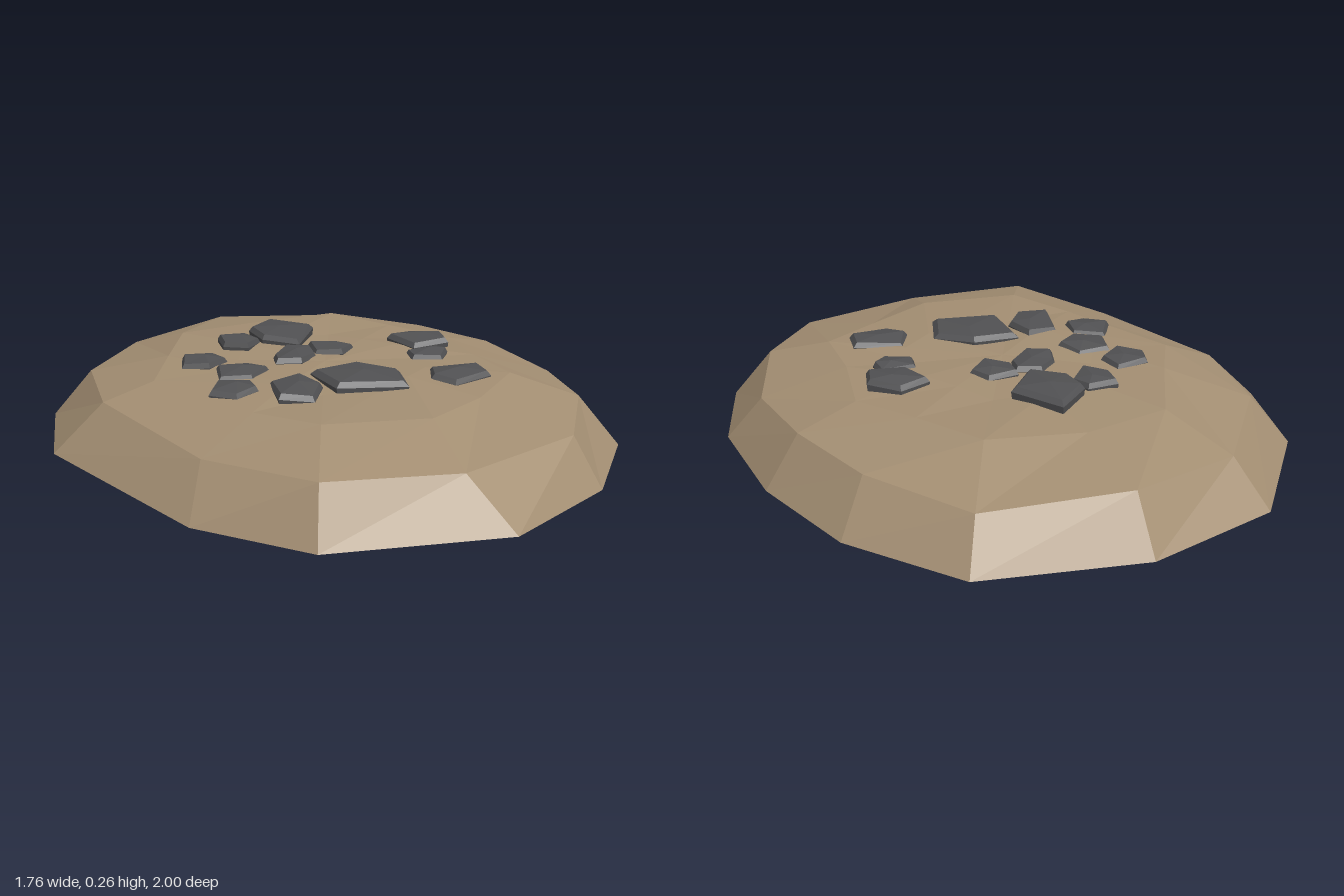
import * as THREE from 'three';

const material = (name, color) => new THREE.MeshStandardMaterial({
  name, color, flatShading: true, side: THREE.DoubleSide });

// Faceted open-bottomed shell: rings of [x, y, z] from low to high, closed by a peak.
function shell(rings, peak) {
  const pos = [];
  const n = rings[0].length;
  for (let i = 0; i < n; i++) {
    const j = (i + 1) % n;
    for (let r = 0; r + 1 < rings.length; r++) {
      const a = rings[r], b = rings[r + 1];
      pos.push(...a[j], ...a[i], ...b[i], ...a[j], ...b[i], ...b[j]);
    }
    const top = rings[rings.length - 1];
    pos.push(...peak, ...top[j], ...top[i]);
  }
  const geometry = new THREE.BufferGeometry();
  geometry.setAttribute('position', new THREE.Float32BufferAttribute(pos, 3));
  geometry.computeVertexNormals();
  return geometry;
}

// Mound outline on the ground and shoulder above it, as [x, z]
const foot = [[-0.08, -1], [0.42, -0.93], [0.69, -0.62], [0.83, -0.25], [0.88, 0.16],
  [0.8, 0.51], [0.54, 0.81], [0.15, 1], [-0.39, 0.9], [-0.65, 0.61],
  [-0.88, -0.09], [-0.8, -0.47], [-0.51, -0.86]];
const shoulder = [[-0.07, -0.89], [0.37, -0.83], [0.6, -0.53], [0.72, -0.22], [0.77, 0.12],
  [0.68, 0.45], [0.49, 0.72], [0.06, 0.86], [-0.35, 0.81], [-0.57, 0.47],
  [-0.72, -0.07], [-0.68, -0.42], [-0.44, -0.75]];

// Stones: cap height and outline as [x, z]
const stones = [
  [0.26, [-0.02, -0.48], [0.09, -0.33], [-0.02, -0.18], [-0.12, -0.27], [-0.13, -0.38]],
  [0.25, [-0.25, -0.36], [-0.15, -0.36], [-0.12, -0.29], [-0.19, -0.21], [-0.26, -0.27]],
  [0.24, [-0.42, -0.21], [-0.31, -0.22], [-0.29, -0.13], [-0.37, -0.07], [-0.45, -0.12]],
  [0.24, [-0.35, -0.07], [-0.24, -0.07], [-0.2, 0.02], [-0.28, 0.09], [-0.38, 0.05]],
  [0.238, [-0.39, 0.06], [-0.29, 0.11], [-0.3, 0.2], [-0.38, 0.23], [-0.45, 0.17]],
  [0.245, [-0.25, 0.15], [-0.14, 0.13], [-0.11, 0.25], [-0.18, 0.36], [-0.28, 0.32]],
  [0.252, [-0.1, 0.12], [0.06, 0.11], [0.17, 0.21], [0.13, 0.36], [-0.09, 0.31]],
  [0.245, [-0.07, -0.18], [0.01, -0.15], [0, -0.07], [-0.08, 0], [-0.16, -0.03], [-0.14, -0.11]],
  [0.245, [0.01, -0.18], [0.11, -0.18], [0.15, -0.11], [0.08, -0.04], [0, -0.09]],
  [0.252, [0.29, -0.15], [0.39, -0.18], [0.48, -0.11], [0.46, -0.02], [0.33, -0.02]],
  [0.24, [0.29, 0], [0.41, -0.01], [0.42, 0.05], [0.37, 0.11], [0.28, 0.07]],
  [0.24, [0.28, 0.19], [0.44, 0.23], [0.43, 0.33], [0.29, 0.36], [0.24, 0.29]],
];

function makeStone([top, ...outline], index) {
  const n = outline.length;
  const cx = outline.reduce((s, p) => s + p[0], 0) / n;
  const cz = outline.reduce((s, p) => s + p[1], 0) / n;
  const ring = (scale, height, wobble) => outline.map(([x, z], i) => [
    cx + (x - cx) * scale, height + wobble * Math.sin(i * 2.1 + index), cz + (z - cz) * scale]);
  return shell([
    ring(0.96, top - 0.055, 0.003),
    ring(1, top - 0.02, 0.005),
    ring(0.87, top - 0.004, 0.005),
  ], [cx + 0.01, top + 0.005, cz - 0.01]);
}

export function createModel() {
  const group = new THREE.Group();
  const earth = material('earth', 0xa48f73);
  const slate = material('darkStone', 0x515153);

  // Hollow earth mound with a gently uneven top
  const crown = (scale, height, bump) => foot.map(([x, z], i) => {
    const s = scale * (1 + 0.06 * Math.sin(i * 2.7));
    return [x * s, height + bump * Math.sin(i * 1.9 + scale * 9), z * s];
  });
  const mound = new THREE.Mesh(shell([
    foot.map(([x, z]) => [x, 0, z]),
    shoulder.map(([x, z], i) => [x, 0.15 + 0.013 * Math.cos(i * 2.4), z]),
    crown(0.6, 0.215, 0.008),
    crown(0.33, 0.224, 0.006),
  ], [0, 0.227, 0]), earth);
  mound.name = 'mound';
  group.add(mound);

  // Loose stones bedded in the top
  const scatter = new THREE.Group();
  scatter.name = 'stones';
  stones.forEach((spec, i) => {
    const stone = new THREE.Mesh(makeStone(spec, i), slate);
    stone.name = `stone${i + 1}`;
    scatter.add(stone);
  });
  group.add(scatter);
  return group;
}
